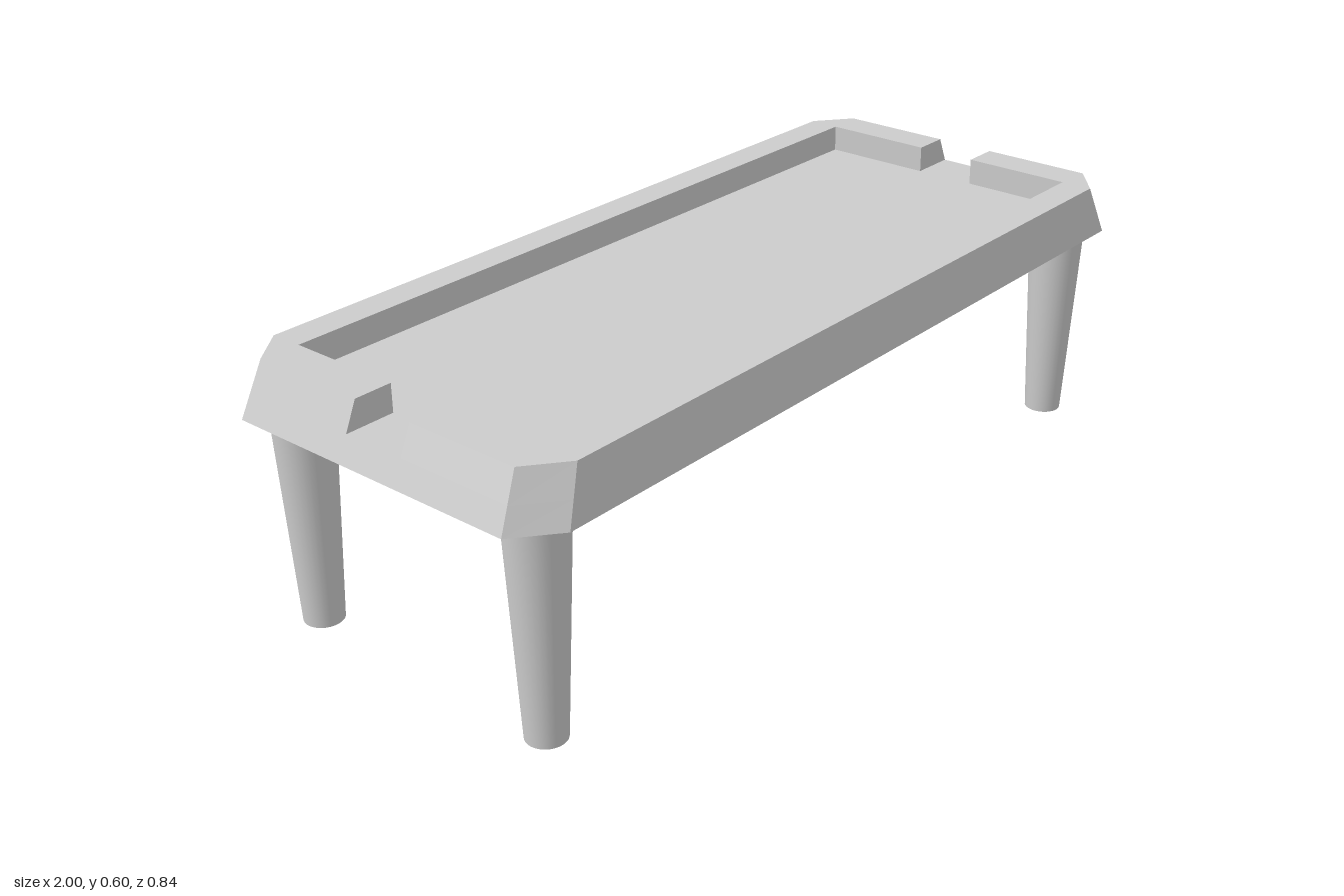
import * as THREE from 'three';

const BASE = 0.483, FLOOR = 0.535, TOP = 0.596;
const INNER_X = 0.865, INNER_Z = 0.33;   // recess half sizes
const NOTCH = { front: 0.076, back: 0.068 };

const material = new THREE.MeshStandardMaterial({ color: 0xcccccc });

// Half sizes of the tapered, chamfered outline at height y
function outlineAt(y) {
  const t = (y - BASE) / (TOP - BASE);
  const mix = (a, b) => a + (b - a) * t;
  return { x: mix(1, 0.95), z: mix(0.421, 0.402), cx: mix(0.91, 0.867), cz: mix(0.347, 0.336) };
}

// Full octagon as [x, z], counter-clockwise from above
function octagon(y) {
  const o = outlineAt(y);
  return [[o.x, o.cz], [o.x, -o.cz], [o.cx, -o.z], [-o.cx, -o.z],
    [-o.x, -o.cz], [-o.x, o.cz], [-o.cx, o.z], [o.cx, o.z]];
}

// C-shaped half of the rim; side is 1 for front, -1 for back
function rimHalf(y, side) {
  const o = outlineAt(y), n = side > 0 ? NOTCH.front : NOTCH.back;
  const points = [[-o.x, n], [-o.x, o.cz], [-o.cx, o.z], [o.cx, o.z], [o.x, o.cz], [o.x, n],
    [INNER_X, n], [INNER_X, INNER_Z], [-INNER_X, INNER_Z], [-INNER_X, n]];
  return side > 0 ? points : points.map(([x, z]) => [x, -z]).reverse();
}

// Recess floor together with the two notch floors
function floorOutline() {
  const x = outlineAt(FLOOR).x, { front: f, back: b } = NOTCH;
  return [[x, f], [x, -b], [INNER_X, -b], [INNER_X, -INNER_Z], [-INNER_X, -INNER_Z], [-INNER_X, -b],
    [-x, -b], [-x, f], [-INNER_X, f], [-INNER_X, INNER_Z], [INNER_X, INNER_Z], [INNER_X, f]];
}

// Triangles of a flat outline, facing up or down
function cap(points, y, up) {
  const contour = points.map(([x, z]) => new THREE.Vector2(x, -z));
  const out = [];
  for (const [a, b, c] of THREE.ShapeUtils.triangulateShape(contour, [])) {
    const ccw = THREE.ShapeUtils.area([contour[a], contour[b], contour[c]]) > 0;
    for (const i of ccw === up ? [a, b, c] : [a, c, b]) out.push(points[i][0], y, points[i][1]);
  }
  return out;
}

// Side walls between two matching outlines
function walls(low, y0, high, y1) {
  return low.flatMap((a, i) => {
    const j = (i + 1) % low.length, b = low[j], c = high[j], d = high[i];
    return [a[0], y0, a[1], b[0], y0, b[1], c[0], y1, c[1],
      a[0], y0, a[1], c[0], y1, c[1], d[0], y1, d[1]];
  });
}

function addFaces(group, name, positions) {
  const geometry = new THREE.BufferGeometry();
  geometry.setAttribute('position', new THREE.Float32BufferAttribute(positions, 3));
  geometry.computeVertexNormals();
  const mesh = new THREE.Mesh(geometry, material);
  mesh.name = name;
  group.add(mesh);
}

export function createModel() {
  const model = new THREE.Group();
  model.name = 'lowTable';

  // Tray top: slab, sunken floor and a rim split by the end notches
  const top = new THREE.Group();
  top.name = 'tableTop';
  addFaces(top, 'slab', [
    ...walls(octagon(BASE), BASE, octagon(FLOOR), FLOOR),
    ...cap(octagon(BASE), BASE, false)]);
  addFaces(top, 'trayFloor', cap(floorOutline(), FLOOR, true));
  for (const side of [1, -1]) {
    const high = rimHalf(TOP, side);
    addFaces(top, side > 0 ? 'frontRim' : 'backRim', [
      ...walls(rimHalf(FLOOR, side), FLOOR, high, TOP),
      ...cap(high, TOP, true)]);
  }
  model.add(top);

  // Four tapered round legs
  const legGeometry = new THREE.CylinderGeometry(0.065, 0.0425, BASE, 32);
  for (const x of [1, -1]) for (const z of [1, -1]) {
    const leg = new THREE.Mesh(legGeometry, material);
    leg.name = (z > 0 ? 'front' : 'back') + (x > 0 ? 'Left' : 'Right') + 'Leg';
    leg.position.set(x * 0.885, BASE / 2, z * 0.314);
    model.add(leg);
  }
  return model;
}
